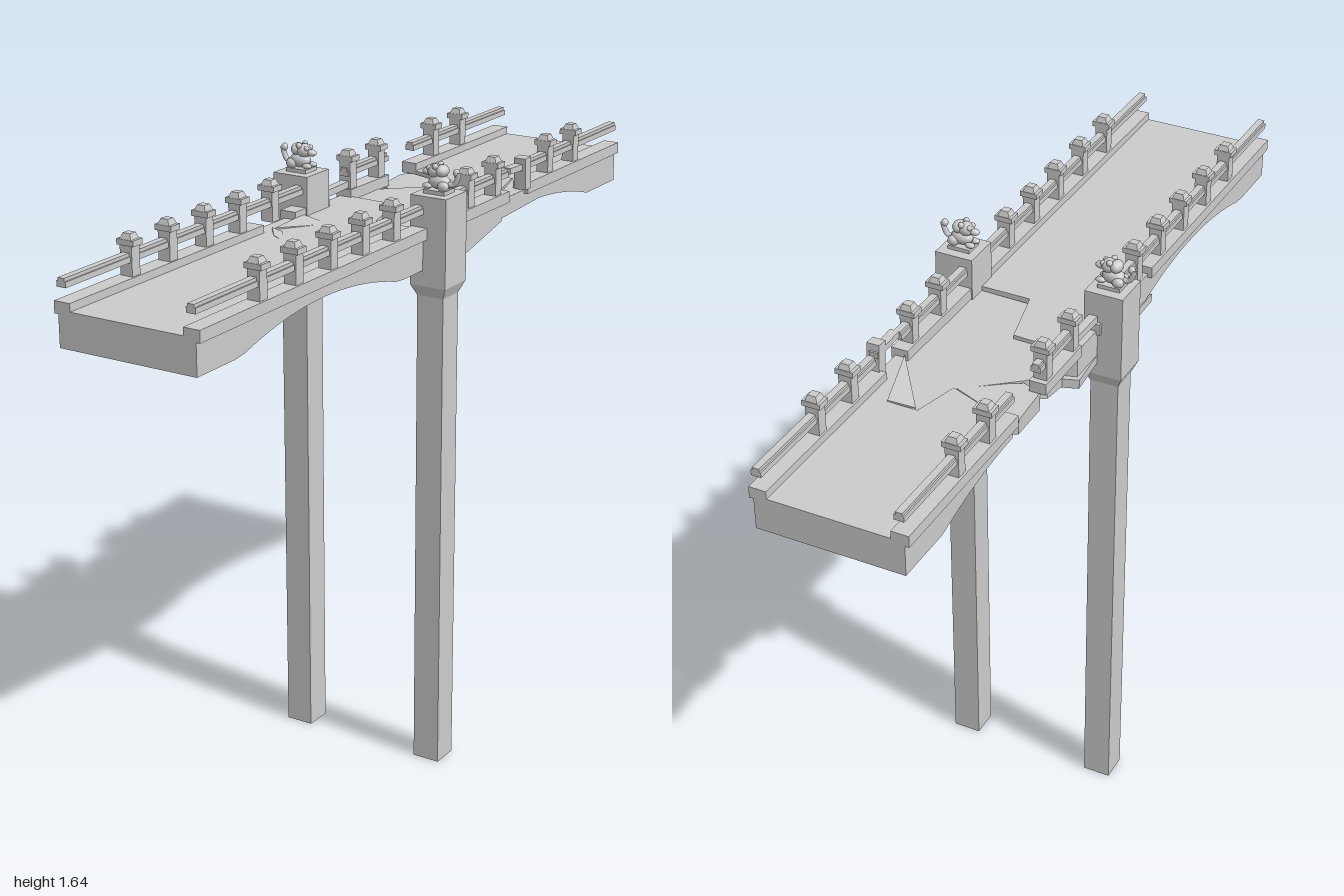
import * as THREE from 'three';

const mat = new THREE.MeshStandardMaterial({ color: 0xcccccc, flatShading: true, side: THREE.DoubleSide });
const smooth = new THREE.MeshStandardMaterial({ color: 0xcccccc });
const TOP = 1.46;

function add(parent, name, geo, x = 0, y = 0, z = 0, m = mat) {
  const mesh = new THREE.Mesh(geo, m);
  mesh.name = name;
  mesh.position.set(x, y, z);
  parent.add(mesh);
  return mesh;
}

function box(parent, name, w, h, d, x, y, z) {
  return add(parent, name, new THREE.BoxGeometry(w, h, d), x, y, z);
}

// Height of the arched underside along the bridge
function arch(z) {
  const t = (Math.abs(z) - 0.5) / 0.335;
  return 1.37 + 0.05 * Math.max(0, 1 - t * t);
}

// Intact stretch of deck between two z positions
function deckSpan(parent, name, z0, z1) {
  const s = new THREE.Shape();
  s.moveTo(-z0, TOP);
  const n = 28;
  for (let i = 0; i <= n; i++) {
    const z = z0 + (z1 - z0) * i / n;
    s.lineTo(-z, arch(z));
  }
  s.lineTo(-z1, TOP);
  const g = new THREE.ExtrudeGeometry(s, { depth: 0.38, bevelEnabled: false });
  g.translate(0, 0, -0.19);
  g.rotateY(Math.PI / 2);
  add(parent, name, g);
}

// Broken piece of deck given by its plan outline [x, z]
function slab(parent, name, pts, drop = 0, tiltX = 0, tiltZ = 0, thick = 0) {
  const s = new THREE.Shape(pts.map(([x, z]) => new THREE.Vector2(x, -z)));
  const g = new THREE.ExtrudeGeometry(s, { depth: 1, bevelEnabled: false });
  g.rotateX(-Math.PI / 2);
  const p = g.attributes.position;
  for (let i = 0; i < p.count; i++) {
    p.setY(i, p.getY(i) > 0.5 ? TOP : thick ? TOP - thick : arch(p.getZ(i)));
  }
  g.computeBoundingBox();
  const c = g.boundingBox.getCenter(new THREE.Vector3());
  g.translate(-c.x, -c.y, -c.z);
  g.computeVertexNormals();
  add(parent, name, g, c.x, c.y - drop, c.z).rotation.set(tiltX, 0, tiltZ);
}

// Baluster with a stepped cap
function railPost(parent, x, z, tilt = 0) {
  const post = new THREE.Group();
  post.name = 'railPost';
  post.position.set(x, 1.475, z);
  post.rotation.x = tilt;
  box(post, 'postShaft', 0.034, 0.08, 0.03, 0, 0.04, 0);
  box(post, 'postCap', 0.048, 0.014, 0.036, 0, 0.085, 0);
  const tip = new THREE.CylinderGeometry(0.015, 0.023, 0.014, 4);
  tip.rotateY(Math.PI / 4);
  add(post, 'postTip', tip, 0, 0.099, 0);
  parent.add(post);
}

// Small crouching beast, head inward and tail curling outward
function guardian() {
  const g = new THREE.Group();
  g.name = 'guardianStatue';
  const ball = (name, r, x, y, z, sx = 1, sy = 1, sz = 1) =>
    add(g, name, new THREE.SphereGeometry(r, 12, 8), x, y, z, smooth).scale.set(sx, sy, sz);
  box(g, 'statueBase', 0.06, 0.01, 0.05, 0, 0.005, 0);
  ball('body', 0.02, 0.002, 0.028, 0, 1.5, 0.95, 1);
  ball('head', 0.02, -0.01, 0.054, 0, 1, 0.9, 1);
  ball('muzzle', 0.011, -0.032, 0.05, 0, 1.3, 0.8, 1);
  ball('mane', 0.016, 0.01, 0.056, 0, 1, 1, 1.35);
  for (const s of [-1, 1]) {
    ball('ear', 0.008, -0.003, 0.068, s * 0.014);
    ball('haunch', 0.013, 0.02, 0.02, s * 0.014, 1.2, 1, 0.9);
    ball('paw', 0.009, -0.026, 0.017, s * 0.013, 1.5, 0.8, 1);
    ball('brow', 0.007, -0.023, 0.062, s * 0.009);
  }
  const curl = new THREE.CatmullRomCurve3([[0.022, 0.025, 0], [0.042, 0.024, 0], [0.052, 0.04, 0], [0.056, 0.058, 0]]
    .map(a => new THREE.Vector3(...a)));
  add(g, 'tail', new THREE.TubeGeometry(curl, 10, 0.007, 7), 0, 0, 0, smooth);
  ball('tailTuft', 0.009, 0.05, 0.056, 0, 1, 1.1, 1);
  return g;
}

// Square pier with flared head
function pier(side) {
  const g = new THREE.Group();
  g.name = side > 0 ? 'leftPier' : 'rightPier';
  g.position.x = side * 0.204;
  box(g, 'pierShaft', 0.075, 1.3, 0.074, 0, 0.65, 0);
  const flare = new THREE.CylinderGeometry(0.051 * Math.SQRT2, 0.0375 * Math.SQRT2, 0.03, 4);
  flare.rotateY(Math.PI / 4);
  add(g, 'pierFlare', flare, 0, 1.315, 0);
  box(g, 'pierHead', 0.102, 0.23, 0.102, 0, 1.445, 0);
  const statue = guardian();
  statue.position.y = 1.56;
  if (side < 0) statue.rotation.y = Math.PI;
  g.add(statue);
  return g;
}

export function createModel() {
  const model = new THREE.Group();
  model.name = 'brokenBridge';

  // Intact deck
  const deck = new THREE.Group();
  deck.name = 'deck';
  model.add(deck);
  deckSpan(deck, 'frontDeck', 0, 1);
  deckSpan(deck, 'backDeck', -1, -0.55);

  // Fractured deck
  slab(deck, 'frontStub', [[-0.19, 0], [0.02, 0], [-0.02, -0.165], [-0.16, -0.17], [-0.19, -0.16]]);
  slab(deck, 'backLeftStub', [[0.11, -0.55], [0.19, -0.55], [0.19, -0.35], [0.165, -0.37]]);
  slab(deck, 'backRightStub', [[-0.19, -0.55], [0.03, -0.55], [0, -0.43], [-0.16, -0.49], [-0.19, -0.5]]);
  slab(deck, 'sunkenSlab', [[-0.16, -0.172], [-0.02, -0.167], [0.02, -0.005], [0.19, -0.002], [0.19, -0.17], [0.19, -0.35],
    [0.165, -0.37], [0.11, -0.548], [0.035, -0.548], [0.002, -0.43], [-0.13, -0.32], [-0.17, -0.28]], 0.008, 0.012);
  slab(deck, 'crackedSlab', [[-0.16, -0.485], [-0.005, -0.425], [-0.01, -0.4], [-0.13, -0.325], [-0.18, -0.34], [-0.19, -0.47]],
    0.008, 0.03, 0.03);

  // Loose shards on top and below
  slab(deck, 'raisedShard', [[-0.16, 0.06], [-0.07, 0.08], [-0.1, 0.13], [-0.15, 0.2]], -0.002, 0, -0.07, 0.012);
  slab(deck, 'raisedShard', [[-0.16, 0.2], [-0.12, 0.21], [-0.08, 0.27], [-0.12, 0.25]], -0.002, 0, -0.07, 0.012);
  slab(deck, 'raisedShard', [[0.04, -0.54], [0.11, -0.55], [0.165, -0.37]], -0.003, 0, 0.09, 0.012);
  slab(deck, 'hangingShard', [[-0.2, 0.05], [-0.05, 0.07], [-0.1, 0.2], [-0.19, 0.27]], 0.069, 0.05, 0, 0.022);
  slab(deck, 'hangingShard', [[-0.19, -0.05], [0.03, -0.06], [0, -0.16], [-0.1, -0.21], [-0.2, -0.17]], 0.07, 0, 0.03, 0.025);

  // Curbs and rails; the right side has gaps
  const runs = {
    1: { curb: [[-1, -0.47], [-0.37, 1]], rail: [[-1, -0.5], [-0.38, 1]] },
    '-1': { curb: [[-1, -0.49], [-0.35, -0.16], [-0.06, 0.1], [0.24, 1]], rail: [[-1, -0.49], [-0.36, -0.16], [-0.05, 1]] },
  };
  for (const s of [1, -1]) {
    const edge = new THREE.Group();
    edge.name = s > 0 ? 'leftParapet' : 'rightParapet';
    model.add(edge);
    for (const [a, b] of runs[s].curb) box(edge, 'curb', 0.045, 0.03, b - a, s * 0.1785, 1.465, (a + b) / 2);
    for (const [a, b] of runs[s].rail) {
      box(edge, 'handrail', 0.026, 0.014, b - a, s * 0.178, 1.521, (a + b) / 2);
      box(edge, 'handrailTop', 0.018, 0.008, b - a, s * 0.178, 1.532, (a + b) / 2);
    }
    for (const z of [0.75, 0.605, 0.46, 0.32, 0.18]) {
      railPost(edge, s * 0.178, z);
      if (z !== 0.46) railPost(edge, s * 0.178, -z);
    }
    model.add(pier(s));
  }

  // Damaged post, displaced rail ends and fallen rail
  const stump = box(model, 'brokenPost', 0.034, 0.085, 0.03, 0.188, 1.508, -0.462);
  stump.rotation.x = 0.06;
  box(model, 'slippedRail', 0.024, 0.016, 0.1, 0.184, 1.527, -0.43).rotation.x = -0.05;
  box(model, 'fallenRail', 0.022, 0.018, 0.13, -0.178, 1.49, -0.11).rotation.x = 0.03;

  return model;
}
